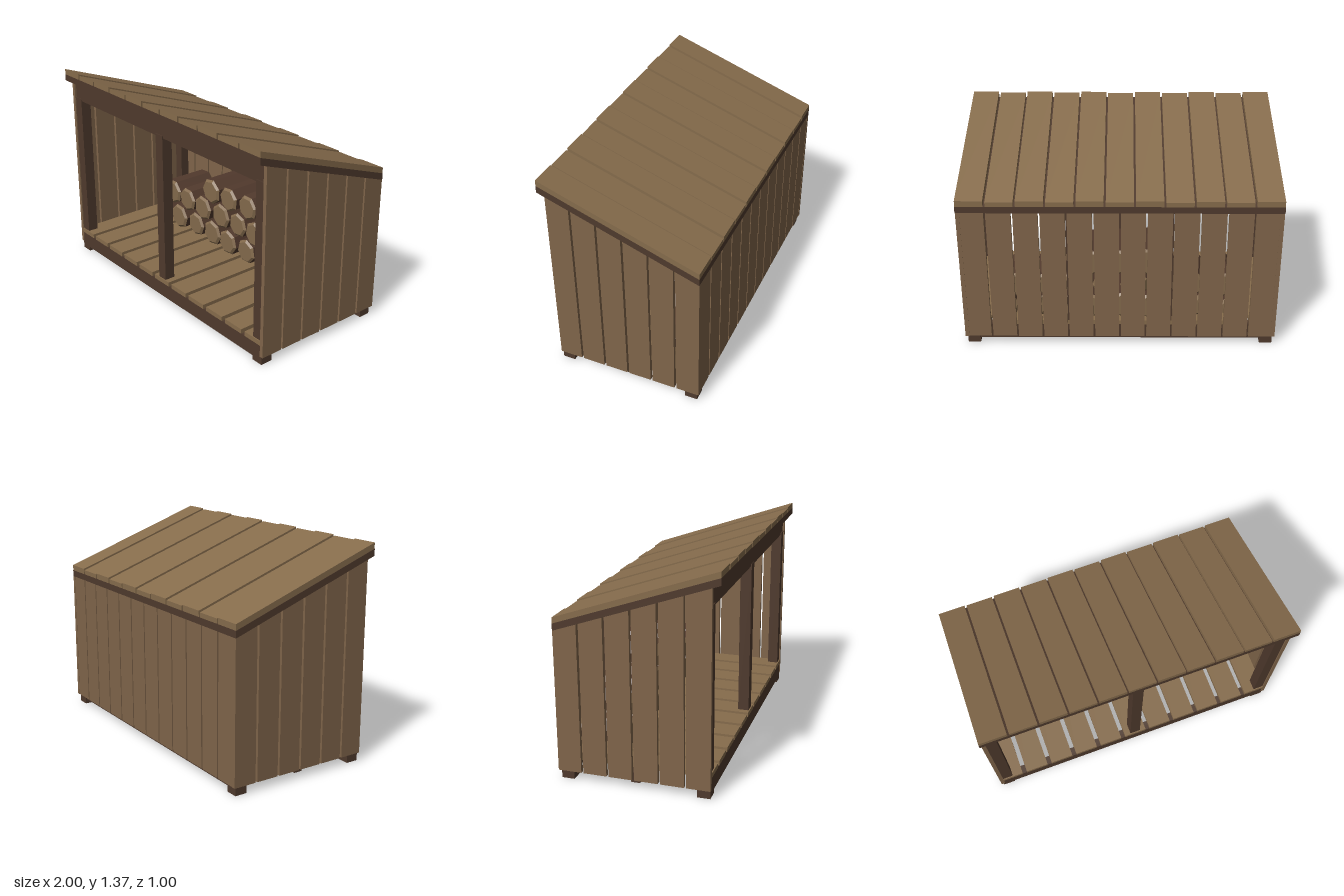
import * as THREE from 'three';

const mat = (name, color, flatShading = false) => {
  const m = new THREE.MeshStandardMaterial({ color });
  m.name = name;
  m.flatShading = flatShading;
  return m;
};

export function createModel() {
  const model = new THREE.Group();
  model.name = 'firewoodShed';

  const boardWood = mat('boardWood', 0x80654a);
  const roofWood = mat('roofWood', 0x866c4c);
  const frameWood = mat('frameWood', 0x4f3a2d);
  const bark = mat('bark', 0x523a2d, true);
  const cutWood = mat('cutWood', 0x836a4c, true);

  // Height of the roof underside at depth z
  const under = (z) => 1.29 - 0.35 * (0.5 - z);
  const at = (y, z) => (typeof y === 'function' ? y(z) : y);

  const group = (name) => {
    const g = new THREE.Group();
    g.name = name;
    model.add(g);
    return g;
  };

  // Box between limits; y limits may be functions of z for sloping faces
  const box = (parent, name, material, [x0, x1], [y0, y1], [z0, z1]) => {
    const geo = new THREE.BoxGeometry(x1 - x0, 1, z1 - z0);
    geo.translate((x0 + x1) / 2, 0, (z0 + z1) / 2);
    const p = geo.attributes.position;
    for (let i = 0; i < p.count; i++) p.setY(i, at(p.getY(i) > 0 ? y1 : y0, p.getZ(i)));
    geo.computeVertexNormals();
    const mesh = new THREE.Mesh(geo, material);
    mesh.name = name;
    parent.add(mesh);
  };

  // Roof: dark deck with alternating planks on top
  const roof = group('roof');
  box(roof, 'roofDeck', frameWood, [-1, 1], [under, (z) => under(z) + 0.043], [-0.5, 0.5]);
  for (let i = -5; i <= 5; i++) {
    const x = i * 0.1826;
    const top = i % 2 ? 0.08 : 0.073;
    box(roof, 'roofPlank', roofWood, [x - 0.085, x + 0.085],
      [(z) => under(z) + 0.043, (z) => under(z) + top], [-0.5, 0.5]);
  }

  // Side walls, mirrored
  const walls = group('walls');
  for (let i = 0; i < 6; i++) {
    const z = 0.45 - i * 0.1606;
    for (const x of [[0.973, 0.998], [-0.998, -0.973]]) {
      box(walls, 'sidePlank', boardWood, x, [0.055, under], [z - 0.147, z]);
    }
  }
  // Back wall
  for (let i = 0; i < 12; i++) {
    const x = (i - 5.5) * 0.1645;
    box(walls, 'backPlank', boardWood, [x - 0.0765, x + 0.0765], [0.055, under], [-0.498, -0.475]);
  }

  // Floor planks over three joists
  const floor = group('floor');
  for (let i = -5; i <= 5; i++) {
    const x = i * 0.182;
    box(floor, 'floorPlank', roofWood,
      [Math.max(x - 0.076, -0.973), Math.min(x + 0.076, 0.973)], [0.13, 0.16], [-0.474, 0.45]);
  }
  box(floor, 'frontJoist', frameWood, [-0.972, 0.972], [0.03, 0.13], [0.39, 0.447]);
  box(floor, 'middleJoist', frameWood, [-0.972, 0.972], [0.03, 0.13], [-0.045, 0.01]);
  box(floor, 'backJoist', frameWood, [-0.972, 0.972], [0.03, 0.13], [-0.474, -0.42]);

  // Posts, feet and the beam under the roof's front edge
  const frame = group('frame');
  for (const s of [-1, 1]) {
    const span = (a, b) => (s > 0 ? [a, b] : [-b, -a]);
    box(frame, 'frontFoot', frameWood, span(0.904, 0.984), [0, 0.056], [0.365, 0.445]);
    box(frame, 'backFoot', frameWood, span(0.904, 0.984), [0, 0.056], [-0.485, -0.405]);
    box(frame, 'frontPost', frameWood, span(0.905, 0.973), [0.05, 1.165], [0.372, 0.443]);
    box(frame, 'backPost', frameWood, span(0.905, 0.973), [0.05, under], [-0.474, -0.41]);
    box(frame, 'backUpright', frameWood, span(0.287, 0.333), [0.16, under], [-0.474, -0.428]);
  }
  box(frame, 'middlePost', frameWood, [-0.035, 0.035], [0.16, 1.165], [0.372, 0.443]);
  box(frame, 'frontBeam', frameWood, [-0.972, 0.972], [1.15, under], [0.38, 0.438]);

  // Stacked seven-sided logs with bevelled cut ends
  const logs = group('logStack');
  const rows = [
    { y: 0.245, xs: [-4, -3, -2, -1, 0, 1, 2, 3, 4] },
    { y: 0.407, xs: [-3.5, -2.5, -1.5, -0.5, 0.5, 1.5, 2.5, 3.5] },
    { y: 0.565, xs: [-1, 0, 1] },
  ];
  let n = 0;
  for (const { y, xs } of rows) {
    for (const k of xs) {
      const r = 0.089 + 0.003 * Math.sin(n * 2.3);
      const length = 0.30;
      const log = new THREE.Group();
      log.name = 'log';
      const side = new THREE.Mesh(new THREE.CylinderGeometry(r, r, length, 7, 1, true), bark);
      side.name = 'bark';
      log.add(side);
      for (const s of [-1, 1]) {
        const end = new THREE.Mesh(new THREE.CylinderGeometry(r * 0.82, r, 0.014, 7), cutWood);
        end.name = 'cutEnd';
        end.position.y = s * (length / 2 + 0.007);
        if (s < 0) end.rotation.z = Math.PI;
        log.add(end);
      }
      // Lay the log along z after a varied roll
      log.rotation.set(Math.PI / 2, n * 1.7, 0);
      log.position.set(k * 0.183, y, -0.278 + 0.008 * Math.sin(n * 1.9));
      logs.add(log);
      n++;
    }
  }

  return model;
}
